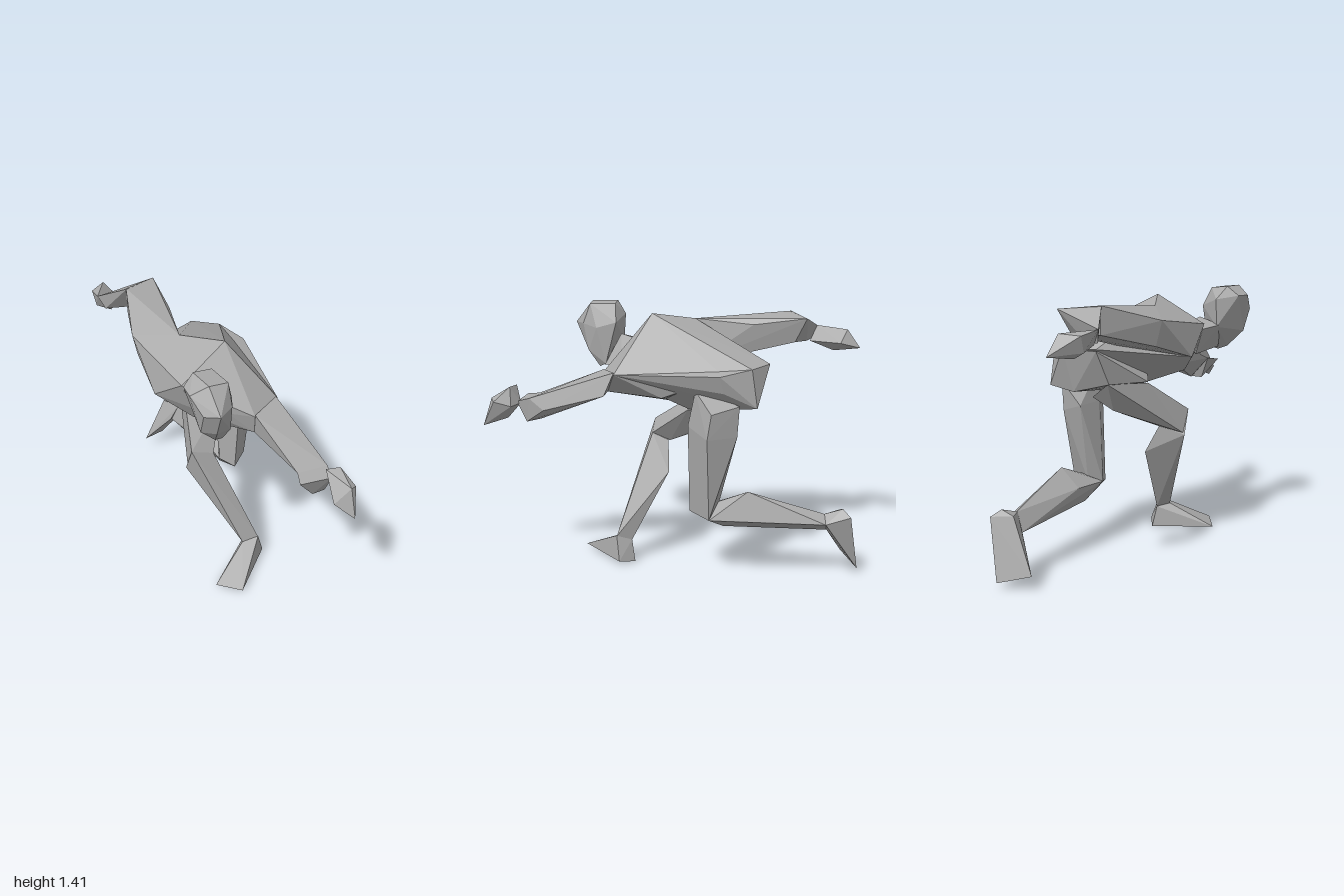
import * as THREE from 'three';
import { ConvexGeometry } from 'three/addons/geometries/ConvexGeometry.js';

// A faceted body part: the convex solid spanned by a few corner points.
function solid(name, material, points) {
  const geometry = new ConvexGeometry(points.map((p) => new THREE.Vector3(...p)));
  const mesh = new THREE.Mesh(geometry, material);
  mesh.name = name;
  return mesh;
}

export function createModel() {
  const grey = new THREE.MeshStandardMaterial({ color: 0xaaaaaa, flatShading: true });
  grey.name = 'clay grey';

  const parts = {
    // crown, brow ring, cheek ring and chin
    head: [
      [-0.29, 1.41, 0.49], [-0.19, 1.4, 0.49], [-0.2, 1.4, 0.35], [-0.3, 1.41, 0.35],
      [-0.36, 1.36, 0.37], [-0.37, 1.36, 0.45], [-0.34, 1.28, 0.53], [-0.28, 1.29, 0.585],
      [-0.19, 1.29, 0.53], [-0.145, 1.27, 0.45], [-0.15, 1.3, 0.34], [-0.26, 1.34, 0.3],
      [-0.33, 1.16, 0.48], [-0.27, 1.16, 0.53], [-0.18, 1.14, 0.5], [-0.15, 1.16, 0.38],
      [-0.26, 1.19, 0.31], [-0.24, 1.07, 0.46], [-0.19, 1.05, 0.44], [-0.15, 1.07, 0.4],
    ],
    neck: [
      [-0.27, 1.2, 0.33], [-0.15, 1.24, 0.31], [-0.12, 1.07, 0.4], [-0.21, 1.07, 0.41],
      [-0.26, 1.19, 0.17], [-0.14, 1.22, 0.24], [-0.09, 1.07, 0.3], [-0.21, 1.05, 0.18],
    ],
    torso: [
      [0, 1.37, 0.12], [-0.14, 1.33, -0.1], [-0.325, 1.07, -0.03], [-0.27, 1.22, 0.17],
      [-0.2, 1.07, 0.2], [-0.08, 1.07, 0.3], [0.03, 1.06, 0.38], [0.21, 1.07, 0.3],
      [0.04, 0.95, 0.36], [-0.18, 0.97, 0.12], [0, 0.9, 0.03], [0.14, 1.13, -0.51],
      [0.27, 1.12, -0.42], [0.27, 1.1, -0.26], [-0.03, 1.13, -0.45], [0.2, 0.95, 0.05],
    ],
    // flank and hips
    pelvis: [
      [0.14, 1.13, -0.51], [0.27, 1.12, -0.42], [0.335, 1.09, -0.26], [-0.03, 1.12, -0.45],
      [0.28, 0.92, -0.45], [0.12, 0.9, -0.45], [-0.04, 0.94, -0.36], [-0.11, 0.93, -0.12],
      [0.09, 0.87, -0.09], [0, 0.9, 0.02], [0.24, 1.0, -0.13], [0.31, 1.0, -0.28],
      [0.21, 1.07, 0.3],
    ],

    // forward arm
    leftArm: [
      [0.03, 1.07, 0.38], [0.2, 1.08, 0.3], [0.04, 0.95, 0.36], [0.23, 0.96, 0.35],
      [0.06, 0.94, 0.73], [0.22, 0.94, 0.75], [0.24, 0.88, 0.67], [0.2, 0.81, 0.77],
      [0.16, 0.82, 0.7],
    ],
    leftWrist: [
      [0.06, 0.94, 0.73], [0.22, 0.94, 0.75], [0.03, 0.93, 0.8], [0.2, 0.92, 0.82],
      [0.13, 0.81, 0.77], [0.2, 0.81, 0.77],
    ],
    leftHand: [
      [0.15, 1.0, 0.83], [0.22, 1.0, 0.85], [0.26, 0.925, 0.93], [0.22, 0.94, 0.95],
      [0.22, 0.79, 1.0], [0.14, 0.86, 0.93], [0.2, 0.83, 0.87], [0.19, 0.91, 0.8],
      [0.25, 0.9, 0.84],
    ],

    // arm swung back
    rightArm: [
      [-0.27, 1.22, 0.17], [-0.325, 1.07, -0.03], [-0.14, 1.33, -0.1], [-0.12, 1.08, -0.1],
      [-0.32, 1.28, -0.29], [-0.29, 1.15, -0.3], [-0.04, 1.31, -0.42], [-0.2, 1.37, -0.62],
      [0, 1.35, -0.7], [-0.04, 1.22, -0.64], [-0.2, 1.23, -0.62],
    ],
    rightWrist: [
      [-0.2, 1.37, -0.61], [0, 1.35, -0.7], [-0.31, 1.28, -0.77], [-0.28, 1.21, -0.74],
      [-0.18, 1.21, -0.71], [-0.04, 1.22, -0.64],
    ],
    rightHand: [
      [-0.31, 1.28, -0.77], [-0.3, 1.26, -0.88], [-0.2, 1.17, -1.0], [-0.155, 1.2, -0.89],
      [-0.24, 1.15, -0.86], [-0.25, 1.2, -0.73], [-0.21, 1.27, -0.93], [-0.29, 1.18, -0.85],
    ],

    // trailing leg, bent at the knee
    leftThigh: [
      [0.24, 1.0, -0.13], [0.17, 1.0, -0.18], [0.36, 0.9, -0.22], [0.28, 0.93, -0.36],
      [0.37, 0.77, -0.2], [0.28, 0.77, -0.35], [0.22, 0.81, -0.09], [0.16, 0.81, -0.2],
      [0.18, 0.8, -0.33], [0.325, 0.33, -0.21], [0.145, 0.36, -0.19], [0.2, 0.34, -0.1],
      [0.2, 0.365, -0.25],
    ],
    leftShin: [
      [0.145, 0.36, -0.19], [0.2, 0.34, -0.1], [0.325, 0.33, -0.21], [0.2, 0.26, -0.28],
      [0.25, 0.47, -0.41], [0.27, 0.4, -0.38], [0.14, 0.37, -0.4],
      [0.19, 0.34, -0.82], [0.25, 0.3, -0.82], [0.15, 0.24, -0.83],
    ],
    leftFoot: [
      [0.19, 0.34, -0.81], [0.25, 0.3, -0.82], [0.14, 0.24, -0.83], [0.2, 0.375, -0.91],
      [0.24, 0.34, -0.95], [0.13, 0.35, -0.9], [0, 0.075, -0.92], [0.16, 0.03, -1.0],
    ],

    // supporting leg
    rightThigh: [
      [-0.11, 0.925, -0.12], [0.1, 0.87, -0.08], [-0.03, 0.94, -0.36], [0.12, 0.85, -0.3],
      [0.02, 0.78, -0.25], [-0.2, 0.755, 0.13], [-0.07, 0.7, 0.13], [-0.2, 0.63, 0.08],
      [-0.07, 0.66, 0.03],
    ],
    rightShin: [
      [-0.2, 0.755, 0.13], [-0.07, 0.7, 0.13], [-0.21, 0.62, 0.08], [0.02, 0.5, 0.03],
      [-0.07, 0.66, 0.04], [0.03, 0.135, 0.29], [0.12, 0.15, 0.31], [0.08, 0.12, 0.23],
    ],
    rightFoot: [
      [0.03, 0.135, 0.29], [0.12, 0.155, 0.31], [0.08, 0.12, 0.23], [0.1, 0, 0.21],
      [0.165, 0.02, 0.29], [-0.1, 0.02, 0.52], [-0.2, 0.005, 0.4],
    ],
  };

  const model = new THREE.Group();
  model.name = 'runner';
  for (const [name, points] of Object.entries(parts)) model.add(solid(name, grey, points));
  return model;
}
